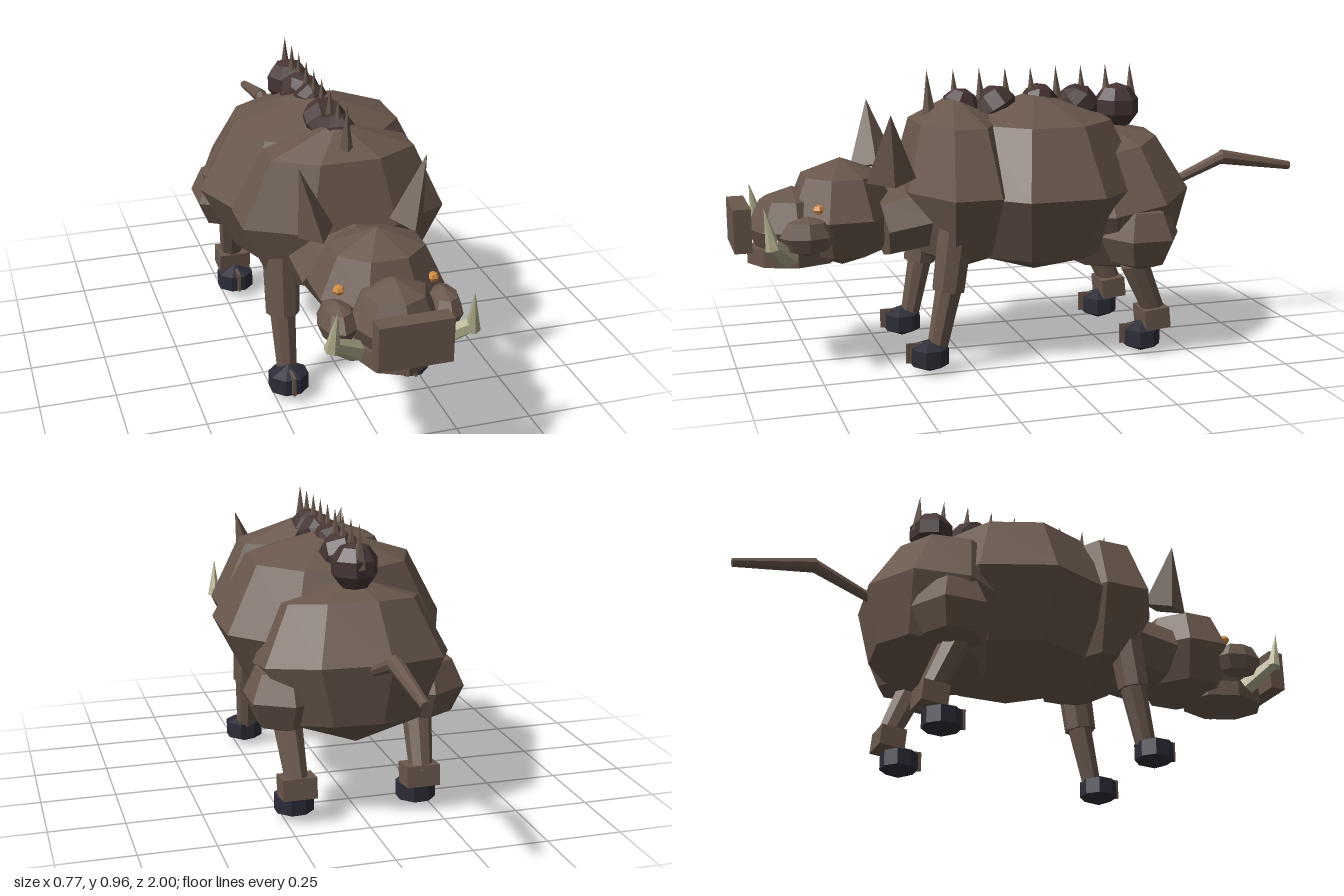
import * as THREE from 'three';

const mat = (name, color) => {
  const m = new THREE.MeshStandardMaterial({ color, flatShading: true });
  m.name = name;
  return m;
};

export function createModel() {
  const hide = mat('brown hide', 0x69574c);
  const mane = mat('dark mane', 0x453434);
  const horn = mat('ivory tusk', 0xb0ac8c);
  const hoofMat = mat('hoof', 0x2c2c38);
  const eyeMat = mat('amber eye', 0xd08a40);

  const model = new THREE.Group();
  model.name = 'boar';
  model.position.x = 0.006;

  const add = (name, geometry, material, parent = model) => {
    const mesh = new THREE.Mesh(geometry, material);
    mesh.name = name;
    parent.add(mesh);
    return mesh;
  };

  // Faceted ellipsoid; turn rotates it so that a flat side can face outwards
  const blob = (name, material, c, r, segs, rings, turn = 0, parent = model) => {
    const g = new THREE.SphereGeometry(1, segs, rings);
    g.rotateY(turn).scale(...r);
    const mesh = add(name, g, material, parent);
    mesh.position.set(...c);
    return mesh;
  };

  // Tapered limb from point a (radius ra) to point b (radius rb)
  const limb = (name, material, a, b, ra, rb, sides = 6, parent = model) => {
    const from = new THREE.Vector3(...a), to = new THREE.Vector3(...b);
    const dir = to.clone().sub(from);
    const mesh = add(name, new THREE.CylinderGeometry(rb, ra, dir.length(), sides), material, parent);
    mesh.position.copy(from).add(to).multiplyScalar(0.5);
    mesh.quaternion.setFromUnitVectors(new THREE.Vector3(0, 1, 0), dir.normalize());
    return mesh;
  };

  const box = (name, material, c, s, parent = model) => {
    const mesh = add(name, new THREE.BoxGeometry(...s), material, parent);
    mesh.position.set(...c);
    return mesh;
  };

  // Body
  blob('belly', hide, [0.004, 0.575, -0.025], [0.397, 0.31, 0.37], 9, 4);
  const rump = blob('rump', hide, [0, 0.51, -0.3], [0.33, 0.272, 0.265], 9, 4);
  rump.rotation.x = 0.18;
  blob('shoulders', hide, [0, 0.585, 0.258], [0.362, 0.3, 0.2], 8, 4, Math.PI / 8);
  const neck = limb('neck', hide, [0, 0.5, 0.34], [0, 0.47, 0.52], 0.2, 0.195, 8);
  neck.scale.z = 0.62;

  // Head
  blob('head', hide, [0, 0.51, 0.64], [0.212, 0.18, 0.185], 8, 4, Math.PI / 8);
  blob('muzzle', hide, [0, 0.472, 0.8], [0.14, 0.132, 0.15], 8, 4);
  box('snoutDisc', hide, [0, 0.487, 0.972], [0.228, 0.142, 0.056]);
  const jaw = add('lowerJaw', new THREE.CylinderGeometry(1, 1, 0.055, 8), hide);
  jaw.scale.set(0.123, 1, 0.15);
  jaw.position.set(0, 0.385, 0.8);

  // Tail
  limb('tailBase', hide, [0, 0.53, -0.52], [0, 0.62, -0.735], 0.016, 0.023, 8);
  limb('tailTip', hide, [0, 0.62, -0.725], [0, 0.574, -0.998], 0.026, 0.015, 8);

  // Mane tufts and spines along the back
  const tufts = [[-0.325, 0.82, 0.08], [-0.18, 0.825, 0.077], [-0.045, 0.845, 0.064], [0.11, 0.832, 0.077], [0.235, 0.835, 0.068]];
  tufts.forEach(([z, y, r], i) => {
    const tuft = blob('maneTuft', mane, [0, y, z], [r, r, r], 7, 5);
    tuft.rotation.set(i * 0.7, i * 1.1, 0);
  });
  for (let i = 0; i < 9; i++) {
    const z = 0.345 - i * 0.0895;
    limb('spine', hide, [0, 0.82, z - 0.008], [0, 0.965, z], 0.023, 0, 5);
  }

  // Paired parts
  for (const s of [1, -1]) {
    // Ear
    const ear = limb('ear', hide, [s * 0.147, 0.63, 0.5], [s * 0.204, 0.85, 0.51], 0.082, 0, 4);
    ear.scale.x = 0.7;

    // Cheek and eye
    blob('cheek', hide, [s * 0.165, 0.47, 0.775], [0.06, 0.065, 0.09], 8, 4);
    blob('eye', eyeMat, [s * 0.147, 0.55, 0.735], [0.02, 0.016, 0.02], 6, 4);

    // Tusk in two bent pieces
    limb('tuskBase', horn, [s * 0.125, 0.395, 0.83], [s * 0.217, 0.465, 0.895], 0.034, 0.022, 6);
    limb('tuskTip', horn, [s * 0.215, 0.445, 0.89], [s * 0.207, 0.58, 0.915], 0.025, 0, 6);

    // Front leg
    const front = new THREE.Group();
    front.name = 'frontLeg';
    model.add(front);
    limb('upperLeg', hide, [s * 0.205, 0.5, 0.3], [s * 0.208, 0.27, 0.332], 0.06, 0.055, 8, front);
    limb('lowerLeg', hide, [s * 0.208, 0.3, 0.325], [s * 0.206, 0.08, 0.37], 0.045, 0.034, 8, front);

    // Hind leg
    const hind = new THREE.Group();
    hind.name = 'hindLeg';
    model.add(hind);
    blob('haunch', hide, [s * 0.23, 0.415, -0.325], [0.141, 0.125, 0.14], 6, 4, Math.PI / 6, hind);
    limb('shank', hide, [s * 0.22, 0.32, -0.31], [s * 0.21, 0.13, -0.395], 0.05, 0.038, 8, hind);
    const hock = box('hock', hide, [s * 0.208, 0.122, -0.385], [0.113, 0.07, 0.088], hind);
    hock.rotation.x = 0.1;

    // Hooves with a cleft plate at the front
    for (const [leg, z] of [[front, 0.398], [hind, -0.345]]) {
      blob('hoof', hoofMat, [s * 0.209, 0.055, z], [0.076, 0.055, 0.074], 8, 3, Math.PI / 8, leg);
      box('hoofCleft', hide, [s * 0.209, 0.067, z + 0.045], [0.009, 0.066, 0.065], leg);
    }
  }

  return model;
}
